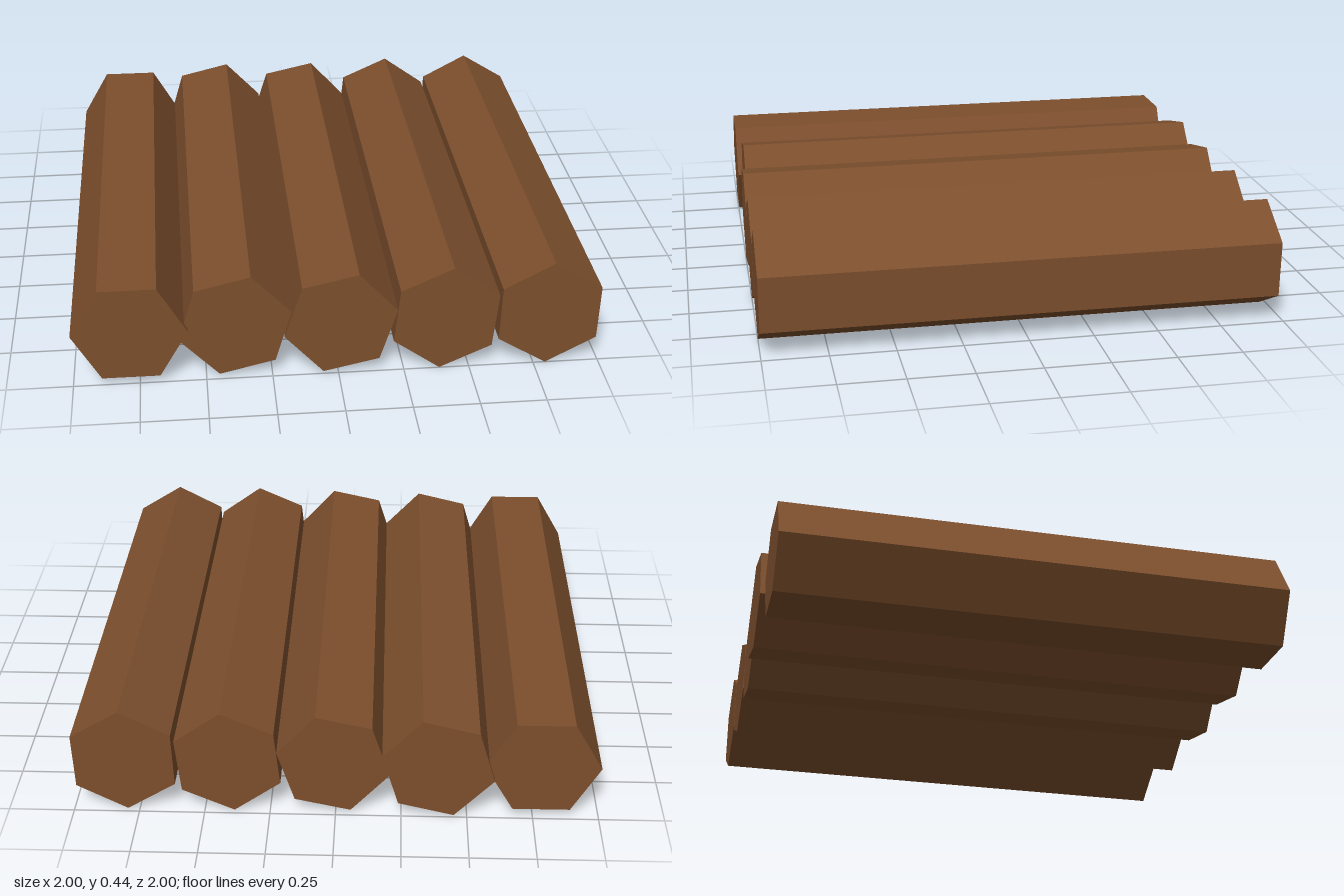
import * as THREE from 'three';

export function createModel() {
  const group = new THREE.Group();
  group.name = 'logRow';

  const wood = new THREE.MeshStandardMaterial({ color: 0x7d4f2d, flatShading: true });
  wood.name = 'brown wood';

  const radius = 0.218, length = 1.98;

  // Hexagonal logs lying along z: centre x, roll in degrees, centre z
  const logs = [
    [-0.782, 0, 0.01],
    [-0.388, 13.5, -0.01],
    [0.009, 12.3, 0.01],
    [0.408, 24.2, 0.01],
    [0.803, 28, 0.01],
  ];

  logs.forEach(([x, roll, z], i) => {
    const start = THREE.MathUtils.degToRad(roll + 90);
    const geometry = new THREE.CylinderGeometry(radius, radius, length, 6, 1, false, start);
    geometry.rotateX(Math.PI / 2);
    const log = new THREE.Mesh(geometry, wood);
    log.name = `log${i + 1}`;
    log.position.set(x, 0.22, z);
    group.add(log);
  });

  return group;
}
